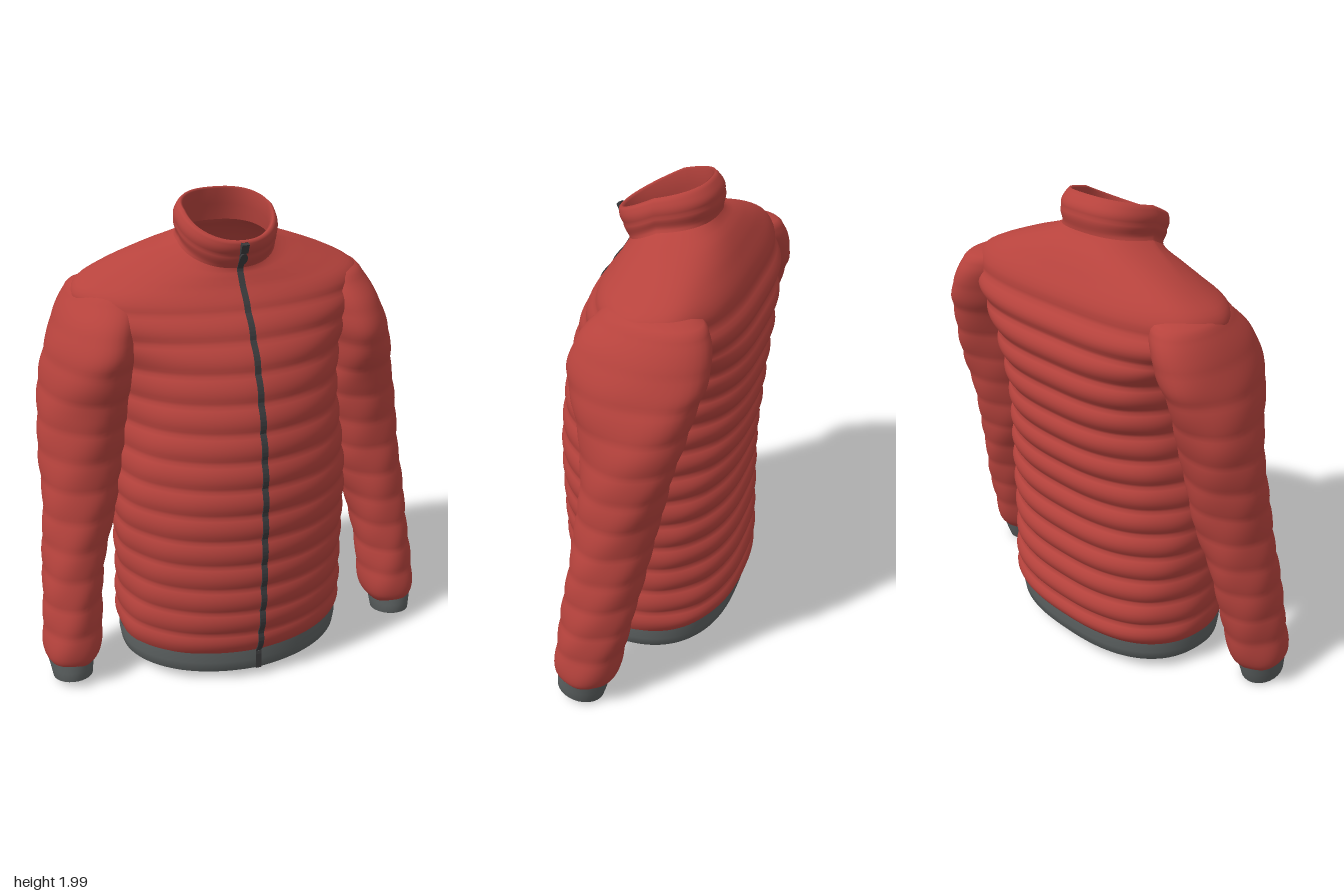
import * as THREE from 'three';

const mat = (name, color) => {
  const m = new THREE.MeshStandardMaterial({ color, side: THREE.DoubleSide });
  m.name = name;
  return m;
};

// Cubic lookup of a table row, keyed by its first column
function lookup(table, y) {
  let i = 0;
  while (i < table.length - 2 && y > table[i + 1][0]) i++;
  const a = table[i], b = table[i + 1], h = b[0] - a[0];
  const p = table[Math.max(i - 1, 0)], n = table[Math.min(i + 2, table.length - 1)];
  const t = Math.min(Math.max((y - a[0]) / h, 0), 1), t2 = t * t, t3 = t2 * t;
  return a.map((v, k) => {
    const m0 = (b[k] - p[k]) / (b[0] - p[0]), m1 = (n[k] - v) / (n[0] - a[0]);
    return v * (2 * t3 - 3 * t2 + 1) + b[k] * (3 * t2 - 2 * t3) + h * (m0 * (t3 - 2 * t2 + t) + m1 * (t3 - t2));
  });
}

// Skin over closed rings of [x, y, z] points, listed from bottom to top
function loft(rings, flat = false) {
  const n = rings[0].length, idx = [];
  for (let i = 0; i < rings.length - 1; i++) {
    for (let j = 0; j < n; j++) {
      const k = (j + 1) % n, a = i * n + j, b = i * n + k, c = a + n, d = b + n;
      idx.push(a, c, b, b, c, d);
    }
  }
  let g = new THREE.BufferGeometry();
  g.setAttribute('position', new THREE.Float32BufferAttribute(rings.flat(2), 3));
  g.setIndex(idx);
  if (flat) g = g.toNonIndexed();
  g.computeVertexNormals();
  return g;
}

const range = (a, b, n) => Array.from({ length: n + 1 }, (_, i) => a + (b - a) * i / n);
const around = (n, f) => Array.from({ length: n }, (_, j) => f(j / n * Math.PI * 2));
const rise = (y, a, b) => THREE.MathUtils.smoothstep(y, a, b);
const fade = (y, a, b) => 1 - rise(y, a, b);
// Rounded quilting: -1 on a seam, 1 in the middle of a baffle
const puff = (y, pitch) => {
  const f = ((y - 0.14) / pitch) % 1;
  return 1 - 2 * (2 * f - 1) ** 2;
};

// Torso: side y, front y, back y, half width, front z, back z, z of widest point
const TORSO = [
  [0.14, 0.14, 0.14, 0.495, 0.365, -0.355, 0],
  [0.22, 0.22, 0.22, 0.503, 0.387, -0.375, 0],
  [0.4, 0.4, 0.4, 0.498, 0.41, -0.372, 0],
  [0.8, 0.8, 0.8, 0.503, 0.42, -0.367, 0],
  [1.0, 1.0, 1.0, 0.485, 0.411, -0.382, -0.01],
  [1.2, 1.2, 1.2, 0.47, 0.38, -0.397, -0.03],
  [1.4, 1.4, 1.4, 0.5, 0.322, -0.41, -0.07],
  [1.5, 1.5, 1.5, 0.57, 0.275, -0.407, -0.1],
  [1.6, 1.59, 1.6, 0.61, 0.222, -0.387, -0.12],
  [1.675, 1.65, 1.69, 0.585, 0.18, -0.355, -0.13],
  [1.725, 1.685, 1.75, 0.49, 0.155, -0.322, -0.13],
  [1.78, 1.715, 1.81, 0.345, 0.137, -0.275, -0.09],
  [1.83, 1.745, 1.86, 0.2, 0.125, -0.222, -0.04],
  [1.89, 1.8, 1.93, 0.2, 0.152, -0.226, -0.03],
  [1.948, 1.855, 1.985, 0.188, 0.17, -0.2, -0.02],
];

// Peaked towards the centre front, boxy across the shoulder blades
function torsoPoint(row, t, grow = 0) {
  const [ys, yf, yb, hw, zf, zb, zc] = row;
  const c = Math.cos(t), s = Math.sin(t), neck = rise(ys, 1.55, 1.82);
  const boxy = rise(ys, 1.0, 1.4) * (1 - neck);
  const e = s < 0 ? 0.8 - 0.17 * boxy : 0.75 + 0.2 * neck;
  const peak = s < 0 ? 0 : 0.2 * (1 - neck);
  const x = Math.sign(c) * Math.abs(c) ** e;
  const d = (1 - peak) * Math.abs(s) ** (s < 0 ? 0.85 : 1) + peak * (1 - Math.abs(c));
  const z = s > 0 ? zc + (zf - zc + grow) * d : zc + (zb - zc - grow) * d;
  return [x * (hw + grow) - 0.01, ys + ((s > 0 ? yf : yb) - ys) * d, z];
}

// Quilting is deepest on the back and shallow at the sides
function quiltedPoint(y, t) {
  const s = Math.sin(t);
  const amp = (0.005 + (s > 0 ? 0.002 : -0.008) * s) * fade(y, 1.55, 1.76);
  const crease = 0.002 * Math.sin(9 * t + 11 * y) * Math.cos(t) ** 2 * fade(y, 1.6, 1.8);
  return torsoPoint(lookup(TORSO, y), t, amp * puff(y, 0.113) + crease);
}

// Sleeve: y, inner x, outer x, back z, front z
const SLEEVE = [
  [0.1, 0.645, 0.85, -0.04, 0.185],
  [0.14, 0.625, 0.865, -0.06, 0.2],
  [0.25, 0.612, 0.857, -0.085, 0.195],
  [0.4, 0.6, 0.845, -0.12, 0.175],
  [0.6, 0.56, 0.825, -0.16, 0.15],
  [0.8, 0.5, 0.805, -0.2, 0.125],
  [1.0, 0.46, 0.797, -0.24, 0.11],
  [1.2, 0.43, 0.78, -0.29, 0.12],
  [1.35, 0.42, 0.748, -0.33, 0.16],
  [1.45, 0.4, 0.717, -0.36, 0.175],
  [1.55, 0.38, 0.678, -0.365, 0.14],
  [1.62, 0.36, 0.638, -0.345, 0.08],
  [1.665, 0.38, 0.595, -0.3, 0.02],
  [1.685, 0.46, 0.5, -0.16, -0.1],
];

// The upper sleeve is sheared so that its outer side sits further back
function sleeveRing(y, side) {
  const [, xi, xo, zb, zf] = lookup(SLEEVE, y);
  const shear = 0.35 * rise(y, 0.7, 1.4);
  return around(40, t => {
    const c = Math.cos(t), s = Math.sin(t);
    const drop = 0.015 * s * fade(y, 1.3, 1.6) * rise(y, 0.1, 0.5);
    const g = (0.003 * puff(y, 0.125) + 0.002 * Math.sin(5 * t + 17 * y)) * fade(y, 1.4, 1.6);
    const dx = c * ((xo - xi) / 2 + g);
    return [side * (xi + xo) / 2 + dx, y - drop, (zb + zf) / 2 + s * ((zf - zb) / 2 + g) - shear * side * dx];
  });
}

// Cuff: y, half width x, half depth z, centre z
const CUFF = [
  [0.028, 0.01, 0.01, 0.095],
  [0.028, 0.074, 0.088, 0.095],
  [0.034, 0.083, 0.097, 0.095],
  [0.08, 0.09, 0.105, 0.085],
  [0.125, 0.098, 0.11, 0.075],
];

export function createModel() {
  const red = mat('red quilted fabric', 0xb7433d);
  const grey = mat('grey ribbed trim', 0x5b6060);
  const dark = mat('dark zip', 0x3a3a3c);
  const model = new THREE.Group();
  model.name = 'jacket';
  const add = (name, geometry, material, parent = model) => {
    const m = new THREE.Mesh(geometry, material);
    m.name = name;
    parent.add(m);
    return m;
  };

  // Quilted torso running up over the shoulders
  const N = 96;
  add('torso', loft(range(0.14, 1.83, 120).map(y => around(N, t => quiltedPoint(y, t)))), red);

  // Stand collar, rolled over at the rim and lined inside
  const collar = range(1.83, 1.948, 14).map(y => around(N, t =>
    torsoPoint(lookup(TORSO, y), t, 0.006 * Math.abs(Math.sin((y - 1.83) / 0.059 * Math.PI)))));
  const lining = [
    [1.955, 1.862, 1.997, 0.178, 0.163, -0.188, -0.02],
    [1.948, 1.855, 1.99, 0.168, 0.15, -0.178, -0.02],
    [1.885, 1.795, 1.925, 0.172, 0.128, -0.195, -0.03],
    [1.83, 1.745, 1.86, 0.18, 0.113, -0.205, -0.04],
  ];
  add('collar', loft([...collar, ...lining.map(r => around(N, t => torsoPoint(r, t)))]), red);

  // Hem band with a folded lower edge
  const hem = [
    [0.15, 0.15, 0.15, 0.475, 0.345, -0.335, 0],
    [0.068, 0.058, 0.068, 0.478, 0.348, -0.335, 0],
    [0.066, 0.055, 0.066, 0.49, 0.362, -0.348, 0],
    [0.105, 0.1, 0.105, 0.496, 0.366, -0.354, 0],
    [0.15, 0.15, 0.15, 0.495, 0.364, -0.354, 0],
  ];
  add('hemBand', loft(hem.map(r => around(N, t => torsoPoint(r, t)))), grey);

  // Sleeves and cuffs, mirrored
  for (const [side, label] of [[1, 'left'], [-1, 'right']]) {
    add(label + 'Sleeve', loft(range(0.1, 1.685, 110).map(y => sleeveRing(y, side))), red);
    add(label + 'Cuff', loft(CUFF.map(([y, rx, rz, cz]) => around(28, t => [
      side * 0.755 + rx * Math.cos(t),
      y + 0.2 * rz * Math.sin(t) * (0.125 - y) / 0.1,
      cz + rz * Math.sin(t),
    ]))), grey);
  }

  // Zip tape following the centre front
  const front = y => y < 0.14 ? [-0.01, y, 0.362]
    : y < 1.83 ? quiltedPoint(y, Math.PI / 2) : torsoPoint(lookup(TORSO, y), Math.PI / 2, 0.003);
  add('zip', loft(range(0.055, 1.948, 110).map(y => {
    const [x, py, z] = front(y);
    return [[1, -1], [1, 1], [-1, 1], [-1, -1]].map(([i, k]) => [x + i * 0.012, py, z + k * 0.005]);
  }), true), dark);

  // Slider and pull tab at the collar
  const pull = new THREE.Group();
  pull.name = 'zipPull';
  pull.position.set(-0.01, 1.81, 0.166);
  pull.rotation.x = 0.4;
  add('slider', new THREE.BoxGeometry(0.03, 0.04, 0.016), dark, pull).position.y = 0.025;
  const tab = add('pullTab', new THREE.CylinderGeometry(0.016, 0.016, 0.008, 12), dark, pull);
  tab.rotation.x = Math.PI / 2;
  tab.scale.z = 1.6;
  tab.position.set(0, -0.02, 0.006);
  model.add(pull);

  return model;
}
